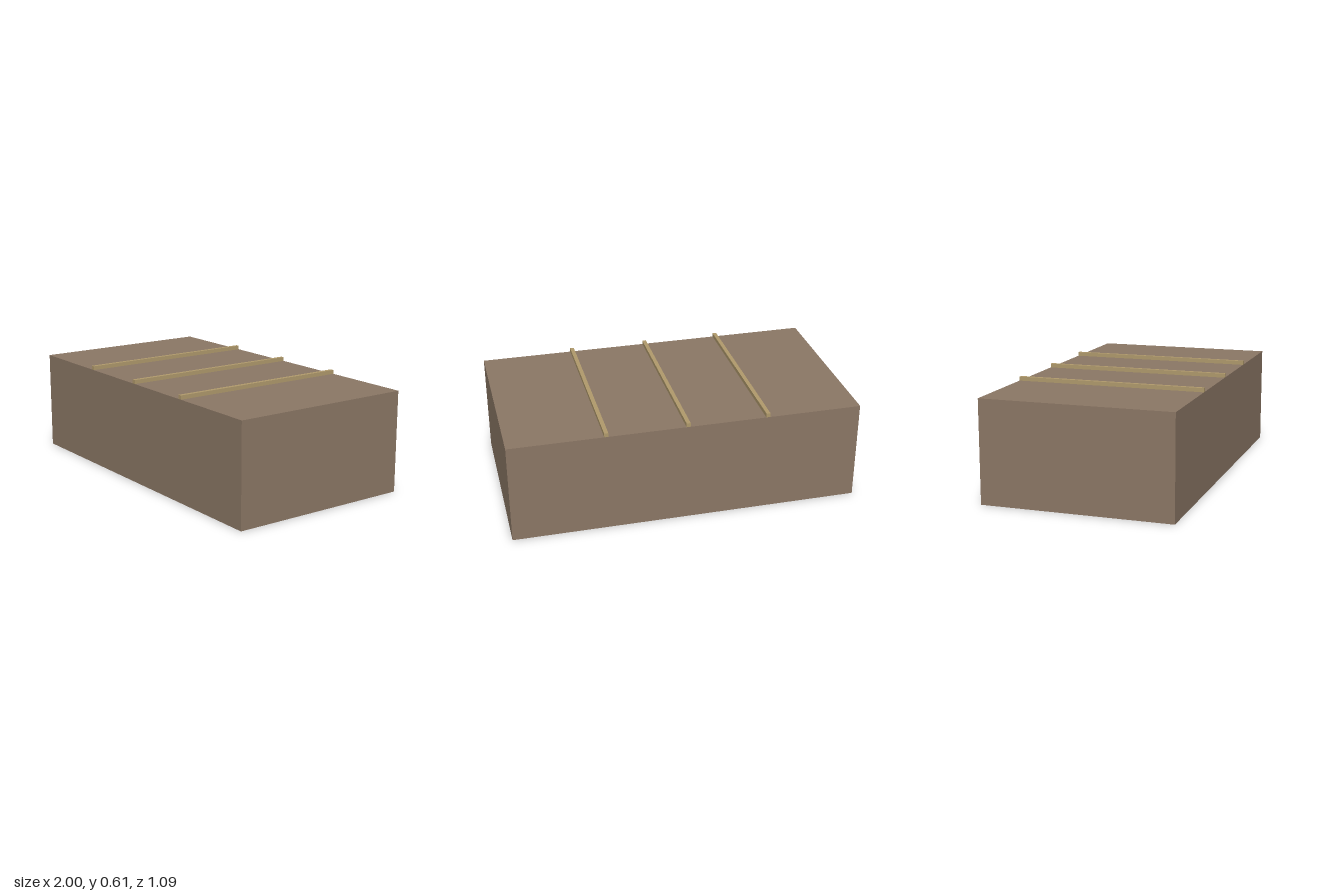
import * as THREE from 'three';

const WIDTH = 2, HEIGHT = 0.583, DEPTH = 1.085;
const STRIP_WIDTH = 0.023, STRIP_HEIGHT = 0.023, STRIP_SPACING = 0.457;

function box(name, w, h, d, x, bottom, material) {
  const mesh = new THREE.Mesh(new THREE.BoxGeometry(w, h, d), material);
  mesh.name = name;
  mesh.position.set(x, bottom + h / 2, 0);
  return mesh;
}

export function createModel() {
  const model = new THREE.Group();
  model.name = 'block';
  const bodyMaterial = new THREE.MeshStandardMaterial({ color: 0x8b7765 });
  const stripMaterial = new THREE.MeshStandardMaterial({ color: 0xb09a6c });

  // Solid body
  model.add(box('body', WIDTH, HEIGHT, DEPTH, 0, 0, bodyMaterial));

  // Raised strips running front to back across the top
  ['rightStrip', 'middleStrip', 'leftStrip'].forEach((name, i) => {
    model.add(box(name, STRIP_WIDTH, STRIP_HEIGHT, DEPTH, (i - 1) * STRIP_SPACING, HEIGHT, stripMaterial));
  });

  return model;
}
